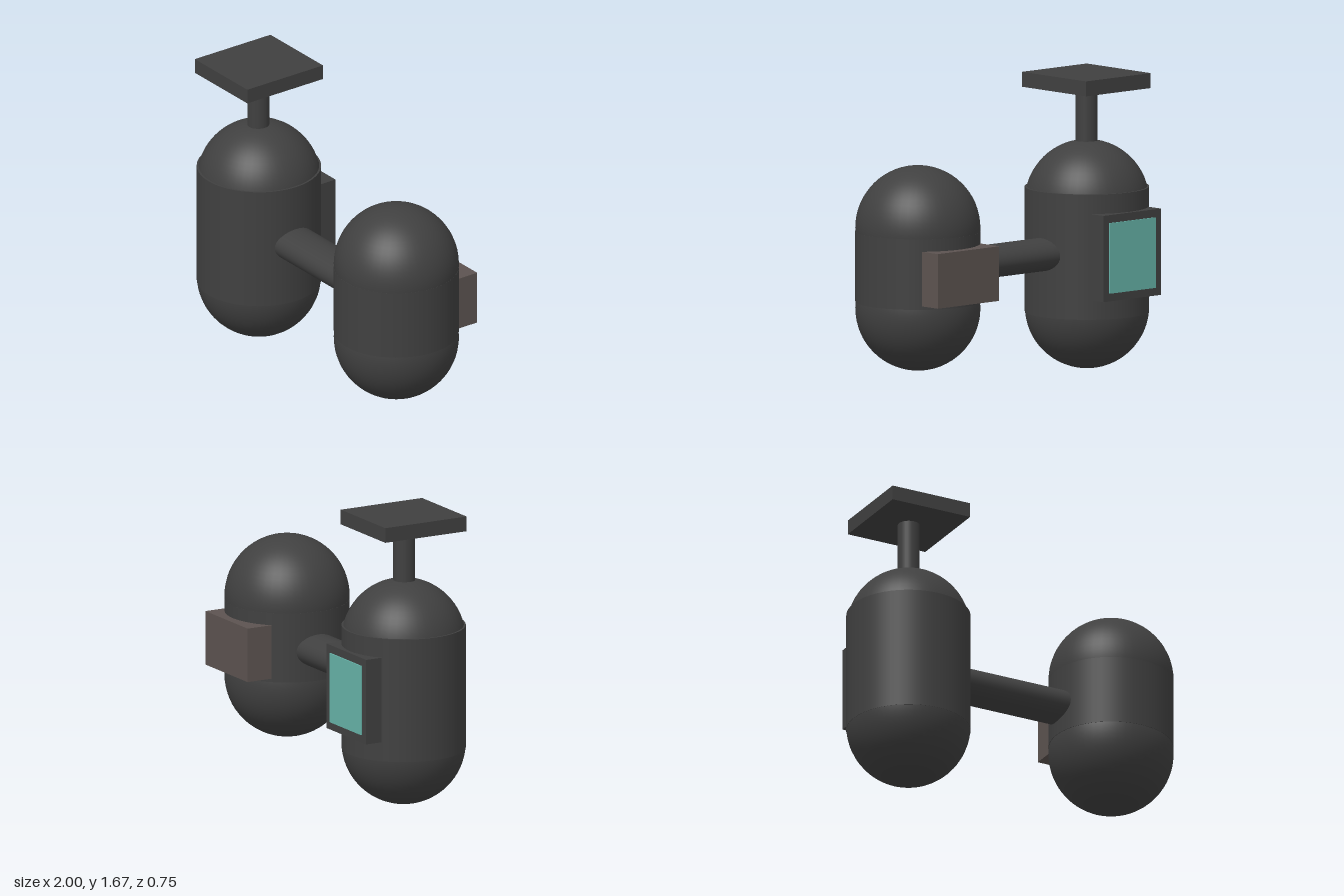
import * as THREE from 'three';

const paint = (color) => new THREE.MeshStandardMaterial({ color });

export function createModel() {
  const model = new THREE.Group();
  const dark = paint(0x404040);
  const brown = paint(0x5c5350);
  const teal = paint(0x66b2a8);

  function add(parent, name, geometry, material, x, y, z) {
    const mesh = new THREE.Mesh(geometry, material);
    mesh.name = name;
    mesh.position.set(x, y, z);
    parent.add(mesh);
    return mesh;
  }

  // Box given by its lower and upper corners
  function addBox(name, material, [x0, y0, z0], [x1, y1, z1]) {
    return add(model, name, new THREE.BoxGeometry(x1 - x0, y1 - y0, z1 - z0), material,
      (x0 + x1) / 2, (y0 + y1) / 2, (z0 + z1) / 2);
  }

  // Upright tank: a drum with a ball at each end
  function addTank(name, x, bottom, top, drumBottom, drumTop, r) {
    const tank = new THREE.Group();
    tank.name = name;
    const z = 0.023;
    const drum = new THREE.CylinderGeometry(r, r, drumTop - drumBottom, 48);
    add(tank, 'drum', drum, dark, x, (drumBottom + drumTop) / 2, z);
    const ball = new THREE.SphereGeometry(r, 48, 32);
    add(tank, 'lowerDome', ball, dark, x, bottom + r, z);
    add(tank, 'upperDome', ball, dark, x, top - r, z);
    model.add(tank);
  }
  addTank('tallTank', -0.65, 0, 1.295, 0.32, 1.03, 0.35);
  addTank('shortTank', 0.645, 0.11, 1.27, 0.5, 0.9, 0.352);

  // Flattened tube joining the tanks
  const bar = add(model, 'connectingBar', new THREE.CylinderGeometry(1, 1, 0.72, 32),
    dark, 0, 0.675, 0.023);
  bar.rotation.z = Math.PI / 2;
  bar.scale.set(0.093, 1, 0.13);

  // Mounting post and square plate above the tall tank
  add(model, 'mountPost', new THREE.CylinderGeometry(0.062, 0.062, 0.36, 32), dark, -0.65, 1.43, 0.027);
  addBox('mountPlate', dark, [-0.895, 1.59, -0.24], [-0.4, 1.675, 0.29]);

  // Screen housing and its display on the back of the tall tank
  addBox('screenHousing', dark, [-0.87, 0.43, -0.35], [-0.43, 0.92, -0.2]);
  addBox('screen', teal, [-0.825, 0.475, -0.358], [-0.475, 0.875, -0.34]);

  // Box on the back of the short tank
  addBox('rearBox', brown, [0.395, 0.52, -0.38], [0.865, 0.83, -0.2]);

  return model;
}
